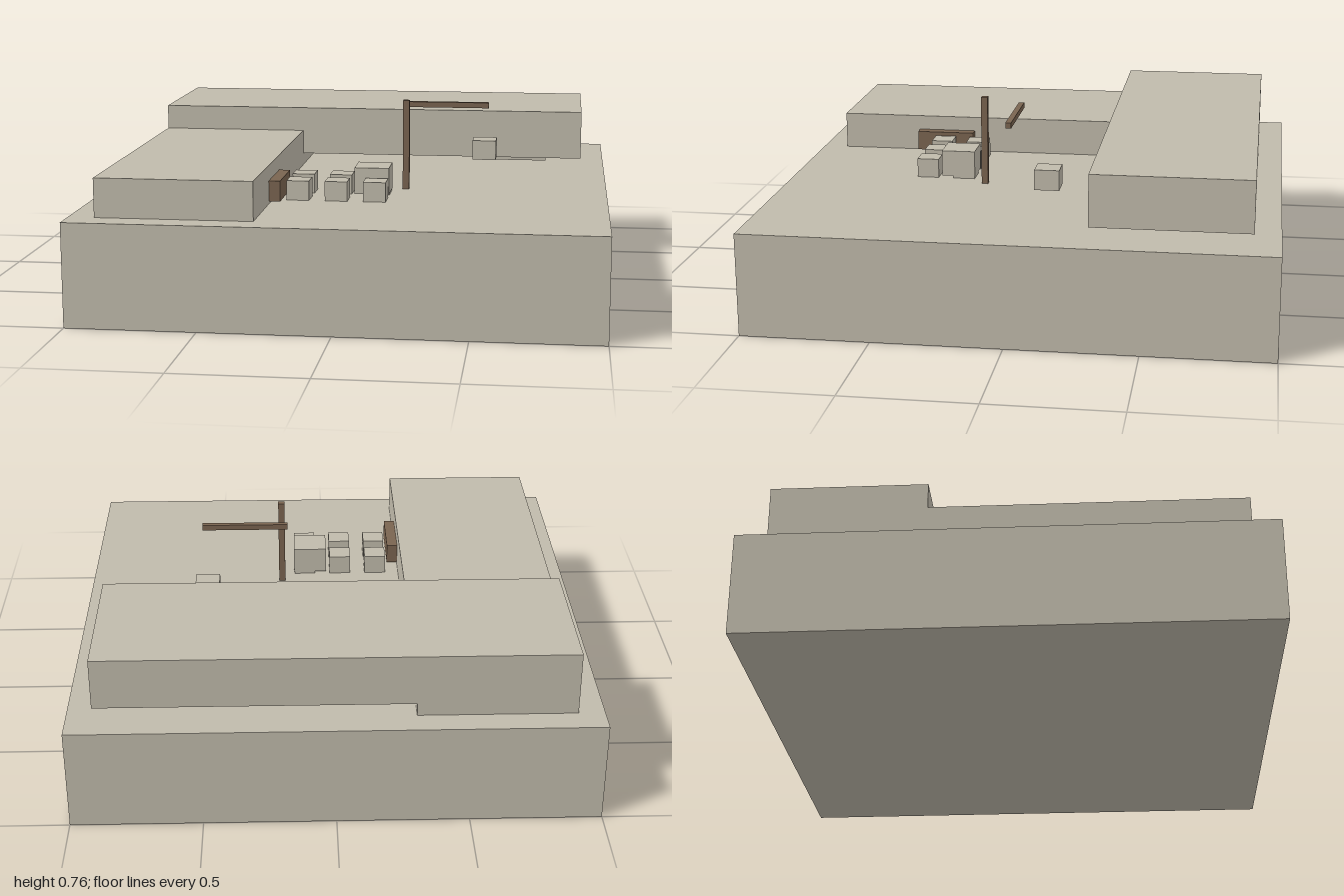
import * as THREE from 'three';

export function createModel() {
  const model = new THREE.Group();
  const stone = new THREE.MeshStandardMaterial({ color: 0xc0baab });
  stone.name = 'stone';
  const wood = new THREE.MeshStandardMaterial({ color: 0x7a6450 });
  wood.name = 'wood';

  // Box given by its lower and upper limits on each axis
  function box(name, material, [x0, x1], [y0, y1], [z0, z1]) {
    const mesh = new THREE.Mesh(new THREE.BoxGeometry(x1 - x0, y1 - y0, z1 - z0), material);
    mesh.position.set((x0 + x1) / 2, (y0 + y1) / 2, (z0 + z1) / 2);
    mesh.name = name;
    model.add(mesh);
  }

  // Ground block and the two wings, the rear one raised off the ground
  box('groundBlock', stone, [-1, 1], [0, 0.4], [-1, 1]);
  box('sideWing', stone, [-0.9, -0.3], [0.4, 0.55], [-0.9, 0.9]);
  box('rearWing', stone, [-0.9, 0.9], [0.45, 0.65], [-0.9, -0.3]);
  box('rearWingUnderside', stone, [0.45, 0.75], [0.43, 0.46], [-0.65, -0.35]);

  // Grid of small blocks, with a larger block over one corner
  for (const x of [-0.2, -0.05, 0.1]) {
    for (const z of [0.295, 0.445]) {
      box('smallBlock', stone, [x - 0.044, x + 0.044], [0.4, 0.477], [z - 0.044, z + 0.044]);
    }
  }
  box('largeBlock', stone, [0.01, 0.146], [0.41, 0.515], [0.25, 0.386]);
  box('floatingBlock', stone, [0.45, 0.547], [0.48, 0.56], [-0.15, -0.053]);

  // Wooden bench, post and overhead beam
  box('bench', wood, [-0.305, -0.256], [0.41, 0.49], [0.328, 0.57]);
  box('post', wood, [0.184, 0.21], [0.4, 0.76], [0.184, 0.21]);
  box('beam', wood, [0.172, 0.52], [0.713, 0.735], [0.04, 0.062]);

  return model;
}
